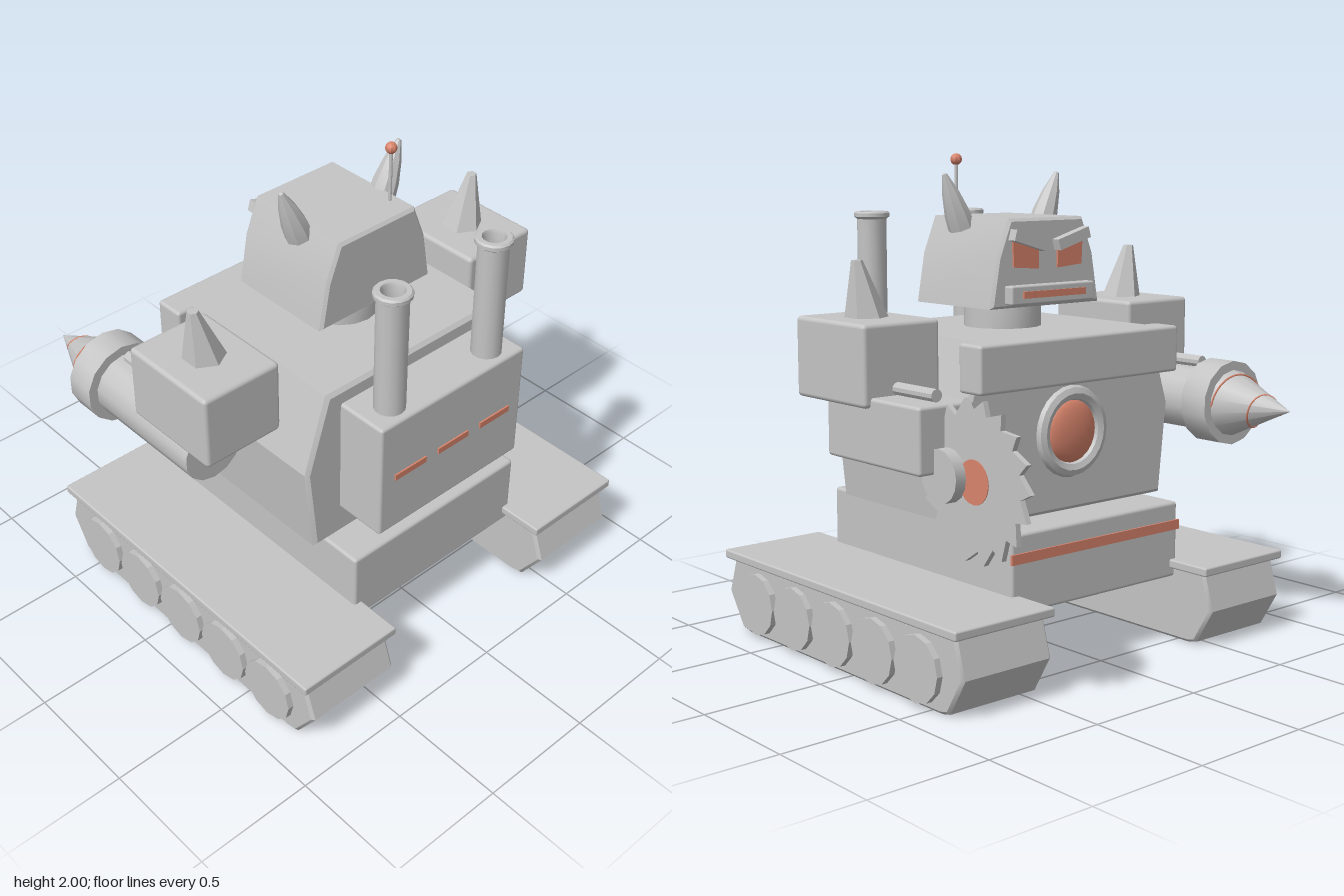
import * as THREE from 'three';
import { toCreasedNormals } from 'three/addons/utils/BufferGeometryUtils.js';
import { RoundedBoxGeometry } from 'three/addons/geometries/RoundedBoxGeometry.js';

export function createModel() {
  const model = new THREE.Group();
  model.name = 'trackedRobot';
  const grey = new THREE.MeshStandardMaterial({ color: 0xc4c4c4 });
  grey.name = 'steelGrey';
  const orange = new THREE.MeshStandardMaterial({ color: 0xd8846c });
  orange.name = 'glowOrange';

  function add(name, geo, mat, x = 0, y = 0, z = 0, crease = 0.6) {
    const mesh = new THREE.Mesh(crease === null ? geo : toCreasedNormals(geo, crease), mat);
    mesh.name = name;
    mesh.position.set(x, y, z);
    model.add(mesh);
    return mesh;
  }
  // Box from min/max corners, softly rounded when r > 0
  function box(name, mat, [x0, x1], [y0, y1], [z0, z1], r = 0.014) {
    const w = x1 - x0, h = y1 - y0, d = z1 - z0;
    const geo = r ? new RoundedBoxGeometry(w, h, d, 2, r) : new THREE.BoxGeometry(w, h, d);
    return add(name, geo, mat, (x0 + x1) / 2, (y0 + y1) / 2, (z0 + z1) / 2, null);
  }
  // Bevelled extrusion of an outline, centred along its depth
  function prism(points, depth, bevel) {
    const shape = new THREE.Shape(points.map(([a, b]) => new THREE.Vector2(a, b)));
    const geo = new THREE.ExtrudeGeometry(shape, {
      depth: depth - 2 * bevel, bevelEnabled: bevel > 0, bevelThickness: bevel,
      bevelSize: bevel, bevelOffset: -bevel, bevelSegments: 1,
    });
    return geo.translate(0, 0, bevel - depth / 2);
  }
  const mirrored = (half) => [...half, ...half.slice().reverse().map(([x, y]) => [-x, y])];
  const lathe = (pts, n) => new THREE.LatheGeometry(pts.map((p) => new THREE.Vector2(...p)), n);

  // Tracks with fenders and road wheels
  const trackOutline = [[0.74, 0.005], [0.79, 0.015], [0.89, 0.16], [0.835, 0.315],
    [-0.645, 0.315], [-0.69, 0.16], [-0.605, 0.015], [-0.56, 0.005]];
  for (const s of [-1, 1]) {
    const side = s > 0 ? 'left' : 'right';
    add(side + 'Track', prism(trackOutline, 0.425, 0.012).rotateY(-Math.PI / 2), grey, s * 0.647, 0, 0);
    const fender = box(side + 'Fender', grey, [0.41, 0.885], [0.308, 0.345], [-0.68, 0.875], 0.008);
    fender.position.x *= s;
    for (let i = 0; i < 5; i++) {
      const wheel = new THREE.CylinderGeometry(0.13, 0.13, 0.05, 12).rotateZ(Math.PI / 2);
      add(side + 'Wheel', wheel, grey, s * 0.86, 0.152, 0.645 - 0.2725 * i, 0.4);
    }
  }

  // Hull and its light strip
  box('hull', grey, [-0.45, 0.45], [0.27, 0.585], [-0.48, 0.68]);
  box('hullStripe', orange, [-0.455, 0.455], [0.47, 0.51], [-0.488, -0.479], 0);

  // Torso, chest plate and core
  const torso = mirrored([[0.515, 0.59], [0.555, 0.97], [0.45, 1.3]]);
  add('torso', prism(torso, 0.84, 0.015), grey, 0, 0, 0.1, 0.3);
  box('chestPlate', grey, [-0.53, 0.53], [1.11, 1.3], [-0.395, -0.265]);
  add('coreRing', new THREE.TorusGeometry(0.155, 0.033, 8, 24), grey, 0, 0.91, -0.315);
  add('core', new THREE.SphereGeometry(0.13, 20, 12).scale(1, 1, 0.3), orange, 0, 0.91, -0.315);

  // Engine pack with vents and exhausts
  box('enginePack', grey, [-0.385, 0.385], [0.72, 1.235], [0.5, 0.74]);
  for (const x of [-0.23, 0, 0.23]) {
    box('vent', orange, [x - 0.082, x + 0.082], [0.962, 0.988], [0.738, 0.747], 0);
  }
  const pipe = [[0.062, 1.2], [0.062, 1.725], [0.075, 1.735], [0.075, 1.75], [0.068, 1.757],
    [0.048, 1.757], [0.044, 1.745], [0.044, 1.69], [0, 1.69]];
  for (const x of [-0.26, 0.26]) add('exhaust', lathe(pipe, 14), grey, x, 0, 0.65);

  // Neck and head
  add('neck', new THREE.CylinderGeometry(0.16, 0.16, 0.13, 16), grey, 0, 1.35, 0.1);
  const head = mirrored([[0.29, 1.4], [0.255, 1.6], [0.195, 1.75]]);
  add('head', prism(head, 0.48, 0.012), grey, 0, 0, 0.066, 0.3);
  for (const s of [-1, 1]) {
    const brow = new THREE.BoxGeometry(0.17, 0.045, 0.05).rotateZ(s * 0.28);
    add('brow', brow, grey, s * 0.115, 1.665, -0.188);
    const eye = prism([[0.05, 1.55], [0.18, 1.56], [0.185, 1.66], [0.05, 1.63]].map(([x, y]) => [s * x, y]), 0.009, 0);
    add('eye', eye, orange, 0, 0, -0.178);
  }
  box('jaw', grey, [-0.22, 0.22], [1.415, 1.49], [-0.217, -0.16], 0.008);
  box('mouth', orange, [-0.165, 0.165], [1.44, 1.467], [-0.225, -0.216], 0);

  // Horns leaning outwards
  for (const s of [-1, 1]) {
    const horn = add('horn', lathe([[0.055, -0.02], [0.052, 0.04], [0.035, 0.13], [0.01, 0.21], [0, 0.215]], 8),
      grey, s * 0.222, 1.725, 0.1);
    horn.rotation.z = -s * 0.38;
  }

  // Antenna
  add('antenna', new THREE.CylinderGeometry(0.007, 0.007, 0.24, 8), grey, 0.16, 1.86, 0.2);
  add('antennaTip', new THREE.SphereGeometry(0.024, 8, 6), orange, 0.16, 1.977, 0.2);

  // Shoulders, bent spikes and forearm rods
  for (const s of [-1, 1]) {
    const shoulder = box('shoulder', grey, [0.508, 0.866], [1.065, 1.38], [-0.128, 0.322], 0.018);
    shoulder.position.x *= s;
    const spike = new THREE.CylinderGeometry(0.022, 0.088, 0.23, 6, 1);
    const p = spike.attributes.position;
    for (let i = 0; i < p.count; i++) p.setX(i, p.getX(i) + s * 0.19 * (p.getY(i) + 0.115));
    add('shoulderSpike', spike, grey, s * 0.685, 1.485, 0.1);
    const rod = new THREE.CylinderGeometry(0.025, 0.025, 0.3, 10).rotateX(Math.PI / 2);
    add('forearmRod', rod, grey, s * 0.712, 1.13, -0.215);
  }

  // Saw arm
  box('sawForearm', grey, [0.58, 0.837], [0.85, 1.105], [-0.42, 0.16]);
  add('sawAxle', new THREE.CylinderGeometry(0.102, 0.102, 0.12, 16).rotateZ(Math.PI / 2), grey, 0.71, 0.85, -0.445);
  const teeth = [];
  for (let i = 0; i < 18; i++) {
    const a = (i / 18) * Math.PI * 2;
    teeth.push([0.303 * Math.cos(a), 0.303 * Math.sin(a)]);
    teeth.push([0.252 * Math.cos(a + 0.1), 0.252 * Math.sin(a + 0.1)]);
  }
  add('sawBlade', prism(teeth, 0.022, 0).rotateY(-Math.PI / 2), grey, 0.71, 0.845, -0.587);
  add('sawHub', new THREE.CylinderGeometry(0.083, 0.083, 0.028, 20).rotateZ(Math.PI / 2), orange, 0.71, 0.845, -0.587);

  // Drill arm
  const dx = -0.712, dy = 0.975;
  const alongZ = (r, z0, z1, n) => new THREE.CylinderGeometry(r, r, z1 - z0, n)
    .rotateX(Math.PI / 2).translate(0, 0, (z0 + z1) / 2);
  add('drillForearm', alongZ(0.135, -0.42, 0.16, 14), grey, dx, dy, 0);
  add('drillCollar', alongZ(0.176, -0.54, -0.41, 14), grey, dx, dy, 0);
  add('drillCone', new THREE.ConeGeometry(0.14, 0.31, 14).rotateX(-Math.PI / 2), grey, dx, dy, -0.69);

  // Glowing thread wound round the cone
  const thread = [];
  for (let i = 0; i <= 40; i++) {
    const t = i / 40, a = t * Math.PI * 4, r = 0.138 * (1 - t) + 0.002;
    thread.push(new THREE.Vector3(r * Math.cos(a), r * Math.sin(a), -0.545 - 0.285 * t));
  }
  add('drillThread', new THREE.TubeGeometry(new THREE.CatmullRomCurve3(thread), 80, 0.004, 5),
    orange, dx, dy, 0, null);

  return model;
}
